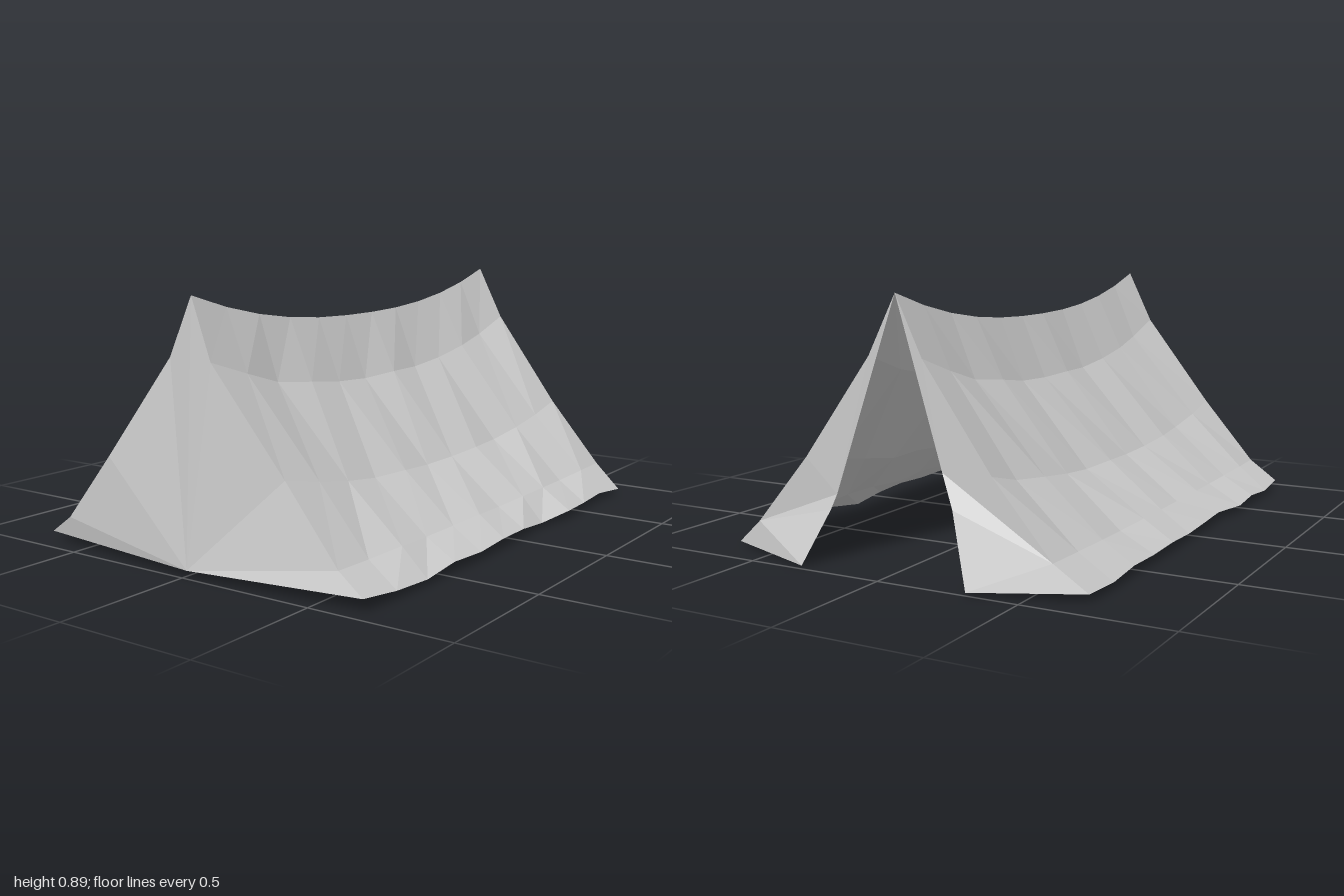
import * as THREE from 'three';

const SEGMENTS = 11; // cloth panels along the ridge
const material = new THREE.MeshStandardMaterial({
  color: 0xcccccc, flatShading: true, side: THREE.DoubleSide,
});

// Unshared triangles keep every cloth facet flat
function facets(name, triangles) {
  const geometry = new THREE.BufferGeometry();
  geometry.setAttribute('position', new THREE.Float32BufferAttribute(triangles.flat(2), 3));
  geometry.computeVertexNormals();
  const mesh = new THREE.Mesh(geometry, material);
  mesh.name = name;
  return mesh;
}

// Half profile from ridge to hem: spread, height at the ends, height at the middle
const profile = [
  { x: 0, end: 0.89, mid: 0.765 },
  { x: 0.1, end: 0.69, mid: 0.545 },
  { x: 0.35, end: 0.345, mid: 0.25 },
  { x: 0.56, end: 0.105, mid: 0.095 },
  { x: 0.67, end: 0.03, mid: 0.03 },
];

// Where each row meets the front and back edges, and the uneven hem
const sides = {
  left: {
    sign: 1,
    front: [0.93, 0.957, 0.912, 0.928, 0.945],
    back: [-0.88, -0.885, -0.895, -0.89, -0.865],
    hemX: [0.67, 0.66, 0.67, 0.685, 0.655, 0.665, 0.675, 0.68, 0.675, 0.675, 0.67, 0.66],
    hemY: [0.015, 0.028, 0.025, 0.03, 0.014, 0.03, 0.035, 0.028, 0.034, 0.018, 0.025, 0.042],
  },
  right: {
    sign: -1,
    front: [0.93, 0.925, 0.965, 0.957, 0.932],
    back: [-0.88, -0.885, -0.89, -0.895, -0.885],
    hemX: [0.675, 0.68, 0.675, 0.675, 0.675, 0.67, 0.672, 0.66, 0.69, 0.682, 0.685, 0.677],
    hemY: [0.025, 0.02, 0.03, 0.026, 0.03, 0.022, 0.03, 0.028, 0.025, 0.032, 0.02, 0.032],
  },
};

// Grid of points [row][column], columns running from back to front
function wallGrid({ sign, front, back, hemX, hemY }) {
  return profile.map(({ x, end, mid }, row) =>
    Array.from({ length: SEGMENTS + 1 }, (_, c) => {
      const t = c / SEGMENTS;
      const sag = Math.pow(Math.abs(2 * t - 1), 2.4);
      const inner = c > 0 && c < SEGMENTS && row > 0;
      const ripple = inner ? 0.008 * Math.sin(c * 2.3 + row * 1.7 + sign) : 0;
      const z = THREE.MathUtils.lerp(back[row], front[row], t);
      if (row === profile.length - 1) return [sign * hemX[c], hemY[c], z];
      return [sign * (x + ripple), mid + (end - mid) * sag + ripple * 0.6, z];
    }));
}

function wall(name, grid, sign) {
  const triangles = [];
  for (let r = 0; r < grid.length - 1; r++) {
    for (let c = 0; c < SEGMENTS; c++) {
      const a = grid[r][c], b = grid[r][c + 1], d = grid[r + 1][c], e = grid[r + 1][c + 1];
      triangles.push(...(sign > 0 ? [[a, b, e], [a, e, d]] : [[a, e, b], [a, d, e]]));
    }
  }
  return facets(name, triangles);
}

// Open door flap: outer edge follows the wall, inner edge hangs free
function flap(name, outer, mid, low, corner, sign) {
  const [ridge, s1, s2, s3, hem] = outer;
  const triangles = [
    [mid, ridge, s1], [mid, s1, s2], [mid, s2, s3],
    [low, mid, s3], [corner, low, s3], [corner, s3, hem],
  ];
  return facets(name, sign > 0 ? triangles : triangles.map(([a, b, c]) => [a, c, b]));
}

export function createModel() {
  const tent = new THREE.Group();
  tent.name = 'tent';

  // Sloping walls with a sagging ridge
  const left = wallGrid(sides.left);
  const right = wallGrid(sides.right);
  tent.add(wall('leftWall', left, 1), wall('rightWall', right, -1));

  // Closed front, fanned out from the middle of its hem
  const hub = [0.02, 0.027, 1.0];
  const rim = [
    ...right.map(row => row[SEGMENTS]).reverse(),
    ...left.slice(1).map(row => row[SEGMENTS]),
  ];
  tent.add(facets('frontPanel', rim.slice(1).map((p, i) => [hub, p, rim[i]])));

  // Pair of open flaps at the back
  const backEdge = grid => grid.map(row => row[0]);
  tent.add(
    flap('leftDoorFlap', backEdge(left), [0.235, 0.23, -0.885], [0.25, 0.18, -0.9], [0.32, 0.0, -0.97], 1),
    flap('rightDoorFlap', backEdge(right), [-0.17, 0.34, -0.885], [-0.24, 0.24, -0.94], [-0.32, 0.01, -1.0], -1),
  );
  return tent;
}
